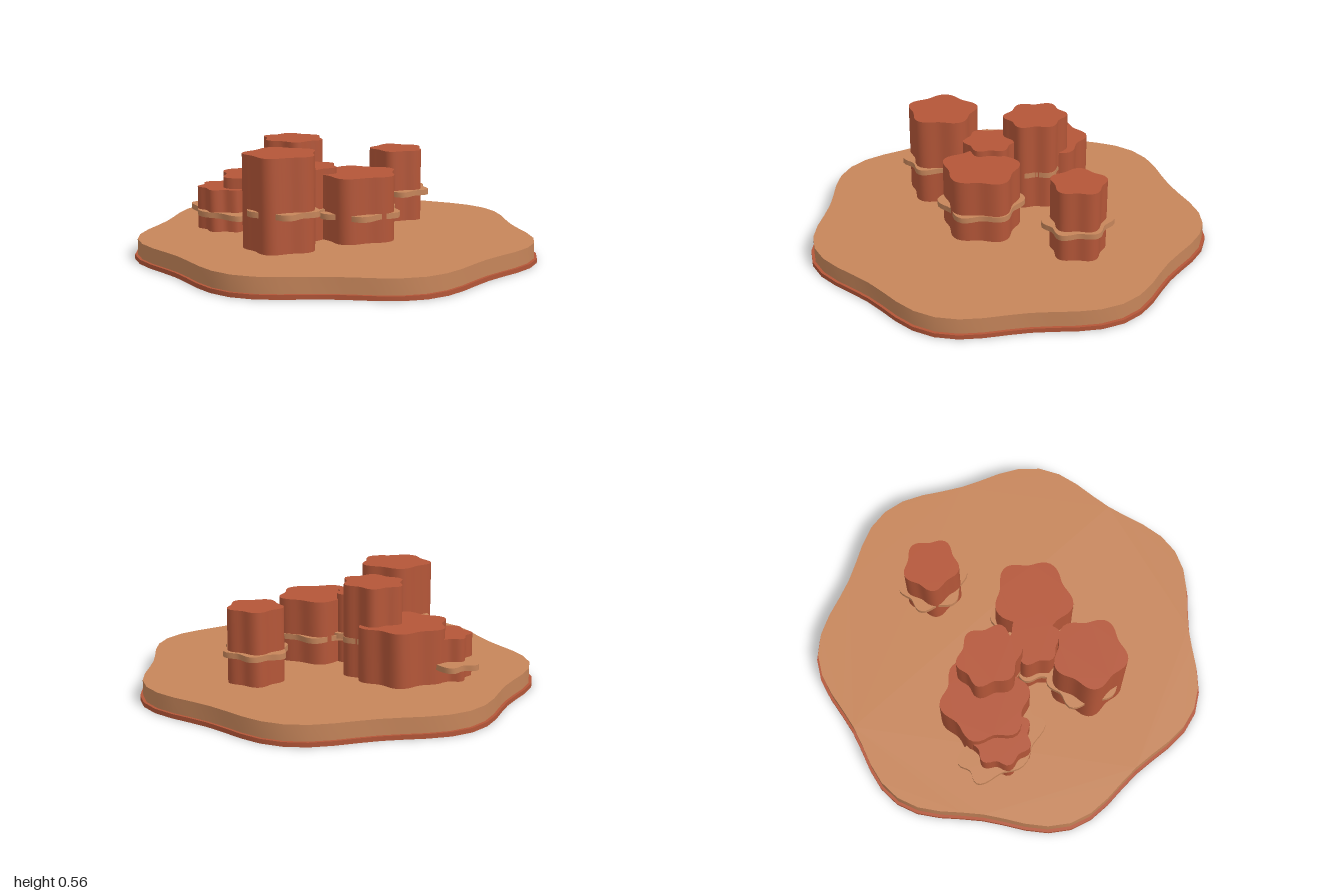
import * as THREE from 'three';
import { toCreasedNormals } from 'three/addons/utils/BufferGeometryUtils.js';

const redRock = new THREE.MeshStandardMaterial({ color: 0xb45638 });
redRock.name = 'redRock';
const tanSand = new THREE.MeshStandardMaterial({ color: 0xc6855a });
tanSand.name = 'tanSand';

// Upright slab with a wavy outline of n lobes, rx and rz being the lobe tips
function lobedSlab(name, material, { n, x, z, rx, rz, wave, bottom, top, segments = 56 }) {
  const points = [];
  for (let i = 0; i < segments; i++) {
    const t = (i / segments) * Math.PI * 2;
    const r = (1 + wave * Math.cos(n * t)) / (1 + wave);
    points.push(new THREE.Vector2(rx * r * Math.cos(t), rz * r * Math.sin(t)));
  }
  const geometry = new THREE.ExtrudeGeometry(new THREE.Shape(points), {
    depth: top - bottom, bevelEnabled: false, steps: 1,
  });
  geometry.rotateX(-Math.PI / 2);
  const mesh = new THREE.Mesh(toCreasedNormals(geometry, 0.7), material);
  mesh.name = name;
  mesh.position.set(x, bottom, z);
  return mesh;
}

// Rock columns: lobes, centre, lobe radii, top height, and radii of the sand ledge
const columns = [
  { n: 5, x: -0.455, z: 0.125, rx: 0.187, rz: 0.185, top: 0.56, ledge: [0.183, 0.222] },
  { n: 5, x: -0.02, z: 0.16, rx: 0.21, rz: 0.197, top: 0.425, ledge: [0.22, 0.222] },
  { n: 5, x: 0.44, z: -0.11, rx: 0.142, rz: 0.145, top: 0.47, ledge: [0.167, 0.185] },
  { n: 6, x: -0.195, z: 0, rx: 0.137, rz: 0.138, top: 0.455, ledge: [0.165, 0.155] },
  { n: 6, x: -0.135, z: -0.24, rx: 0.156, rz: 0.17, top: 0.56, ledge: [0.16, 0.165] },
  { n: 6, x: -0.235, z: -0.365, rx: 0.235, rz: 0.222, top: 0.37, ledge: [0.225, 0.21] },
  { n: 7, x: -0.42, z: -0.425, rx: 0.15, rz: 0.158, top: 0.315, ledge: [0.16, 0.26] },
];

export function createModel() {
  const model = new THREE.Group();
  model.name = 'desertRocks';

  // Ground: thin red rim under a thicker sand slab
  const ground = { n: 7, x: -0.035, z: 0, wave: 0.041 };
  model.add(lobedSlab('groundRim', redRock, { ...ground, rx: 1.015, rz: 1.022, bottom: 0, top: 0.022 }));
  model.add(lobedSlab('groundSlab', tanSand, { ...ground, rx: 1.0, rz: 1.007, bottom: 0.022, top: 0.1 }));

  // Columns, each with a wavy sand ledge part-way up
  columns.forEach(({ n, x, z, rx, rz, top, ledge }, i) => {
    const group = new THREE.Group();
    group.name = `rockColumn${i + 1}`;
    group.add(lobedSlab('column', redRock, { n, x, z, rx, rz, wave: 0.095, bottom: 0.1, top }));
    const mid = 0.1 + (top - 0.1) * 0.4;
    group.add(lobedSlab('ledge', tanSand, {
      n: 6, x, z, rx: ledge[0], rz: ledge[1], wave: 0.1, bottom: mid - 0.014, top: mid + 0.014,
    }));
    model.add(group);
  });
  return model;
}
